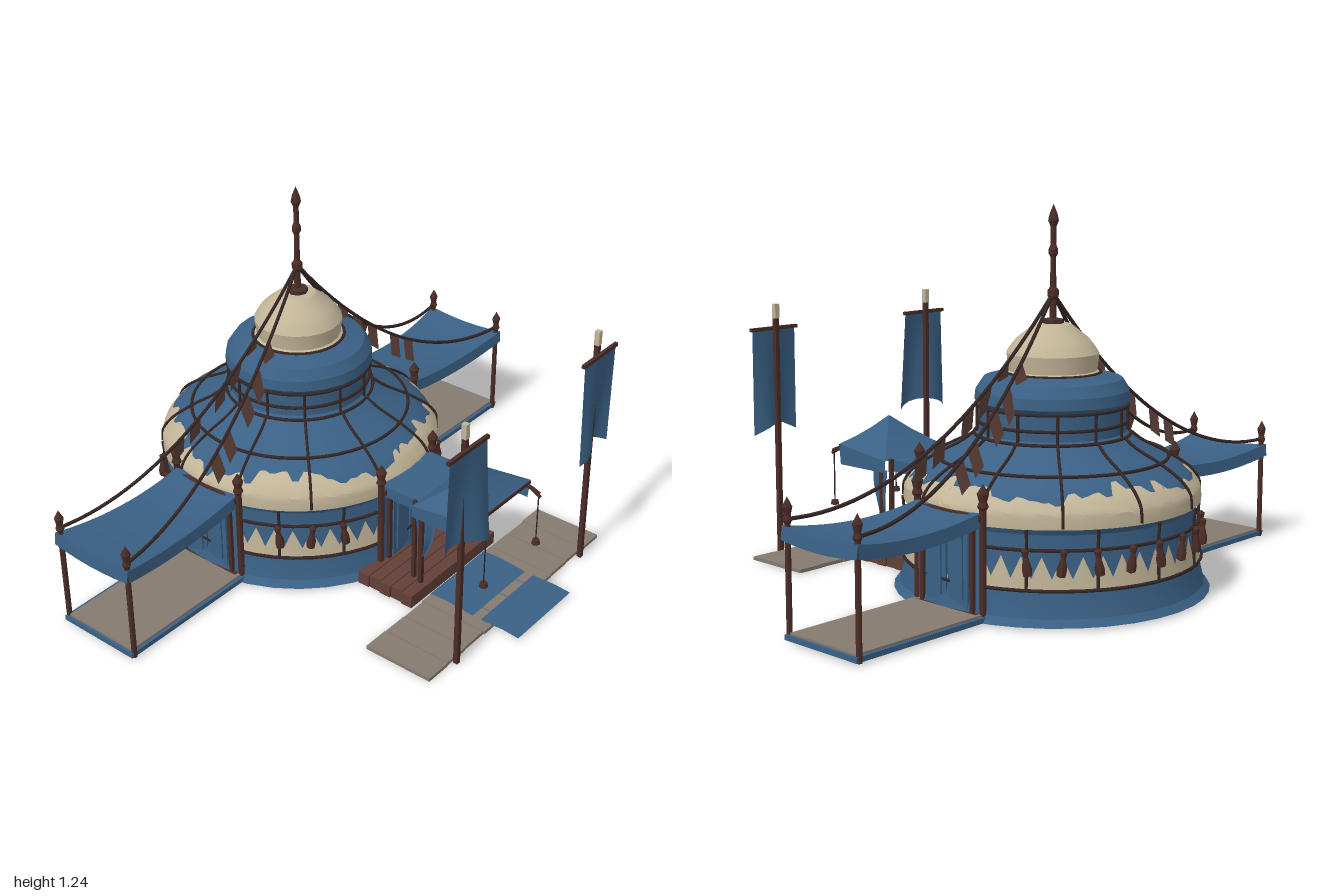
import * as THREE from 'three';
import { toCreasedNormals } from 'three/addons/utils/BufferGeometryUtils.js';

const mat = (name, color, side = THREE.FrontSide) => {
  const m = new THREE.MeshStandardMaterial({ color, side });
  m.name = name;
  return m;
};

export function createModel() {
  const root = new THREE.Group();
  const blue = mat('blue canvas', 0x3a6084, THREE.DoubleSide);
  const cream = mat('cream canvas', 0xc2b598, THREE.DoubleSide);
  const wood = mat('dark wood', 0x4a2c26);
  const plank = mat('red brown planks', 0x613f38);
  const taupe = mat('weathered boards', 0x857a6f);
  const rope = mat('rope', 0x352624);
  const pennant = mat('brown cloth', 0x60423a, THREE.DoubleSide);
  const CZ = -0.262;
  const V = (x, y, z) => new THREE.Vector3(x, y, z);

  const add = (name, geo, m, parent = root, x = 0, y = 0, z = 0) => {
    const mesh = new THREE.Mesh(geo, m);
    mesh.name = name;
    mesh.position.set(x, y, z);
    parent.add(mesh);
    return mesh;
  };
  const group = (name, parent = root) => {
    const g = new THREE.Group();
    g.name = name;
    parent.add(g);
    return g;
  };
  const box = (name, w, h, d, m, x, y, z, parent) => add(name, new THREE.BoxGeometry(w, h, d), m, parent, x, y, z);
  const lathe = (name, pts, m, parent, seg = 32, x = 0, y = 0, z = 0) =>
    add(name, toCreasedNormals(new THREE.LatheGeometry(pts.map(p => new THREE.Vector2(...p)), seg), 0.35), m, parent, x, y, z);
  const tube = (name, pts, r, m, parent, seg = 16) =>
    add(name, new THREE.TubeGeometry(new THREE.CatmullRomCurve3(pts), seg, r, 6), m, parent);
  // Cloth surface from a rule f(u, v) -> [x, y, z]
  const sheet = (name, nu, nv, f, m, parent) => {
    const pos = [], idx = [];
    for (let j = 0; j <= nv; j++) for (let i = 0; i <= nu; i++) {
      pos.push(...f(i / nu, j / nv));
      if (i < nu && j < nv) {
        const a = j * (nu + 1) + i, b = a + nu + 1;
        idx.push(a, a + 1, b, a + 1, b + 1, b);
      }
    }
    const g = new THREE.BufferGeometry();
    g.setAttribute('position', new THREE.Float32BufferAttribute(pos, 3));
    g.setIndex(idx);
    return add(name, toCreasedNormals(g, 0.5), m, parent);
  };
  // Post with a carved finial
  const post = (name, x, z, y0, y1, r, parent) => lathe(name, [[0, y0], [r, y0], [r, y1 - 0.08], [r * 1.6, y1 - 0.07],
    [r * 1.1, y1 - 0.055], [r * 1.7, y1 - 0.03], [0, y1]], wood, parent, 8, x, 0, z);

  // ---- Round tent ----
  const tent = group('roundTent');
  tent.position.z = CZ;
  const profile = [[0.515, 0.008], [0.495, 0.03], [0.478, 0.1], [0.47, 0.2], [0.468, 0.28], [0.478, 0.3], [0.475, 0.345],
    [0.445, 0.385], [0.37, 0.435], [0.29, 0.475], [0.25, 0.505], [0.238, 0.515]];
  const radiusAt = y => {
    for (let i = 1; i < profile.length; i++) {
      const [r0, y0] = profile[i - 1], [r1, y1] = profile[i];
      if (y <= y1) return r0 + (r1 - r0) * Math.max(0, (y - y0) / (y1 - y0));
    }
    return 0.24;
  };
  lathe('tentBody', [[0, 0.006], ...profile], blue, tent, 36);
  lathe('drum', [[0.238, 0.5], [0.238, 0.6], [0.252, 0.615], [0.248, 0.65], [0.225, 0.685], [0.15, 0.705]], blue, tent, 24);
  lathe('topDome', [[0.165, 0.695], [0.143, 0.71], [0.15, 0.765], [0.138, 0.785], [0.118, 0.81], [0.06, 0.857], [0, 0.862]], cream, tent, 20);
  // Painted bands that follow the tent wall
  const band = (name, lo, hi, n) => sheet(name, n, 8, (u, v) => {
    const y = lo(u) + (hi(u) - lo(u)) * v, r = radiusAt(y) + 0.004, a = u * Math.PI * 2;
    return [Math.sin(a) * r, y, Math.cos(a) * r];
  }, cream, tent);
  band('zigzagBand', () => 0.115, u => (Math.round(u * 96) % 2 ? 0.148 : 0.215), 96);
  band('shoulderBand', () => 0.298, u => {
    const k = Math.round(u * 72);
    return 0.39 + 0.018 * Math.sin(k * 2.3) * Math.cos(k * 0.7) + 0.014 * Math.sin(u * Math.PI * 10);
  }, 144);
  // Rope hoops
  const hoops = [[0.477, 0.235], [0.485, 0.113], [0.376, 0.436], [0.253, 0.507], [0.243, 0.548], [0.245, 0.6], [0.155, 0.703]];
  for (const [r, y] of hoops) {
    const t = add('ropeHoop', new THREE.TorusGeometry(r, 0.0055, 6, 48), rope, tent, 0, y, 0);
    t.rotation.x = Math.PI / 2;
  }
  // Cords running down the roof and the drum
  for (let k = 0; k < 12; k++) {
    const a = (k + 0.5) * Math.PI / 6, s = Math.sin(a), c = Math.cos(a);
    const pts = profile.slice(5, 11).map(([r, y]) => V(s * (r + 0.004), y + 0.003, c * (r + 0.004)));
    tube('roofCord', pts, 0.005, rope, tent);
    tube('drumCord', [V(s * 0.243, 0.51, c * 0.243), V(s * 0.243, 0.6, c * 0.243)], 0.005, rope, tent, 2);
  }
  // Wooden toggles around the wall, leaving the doorways free
  for (let k = 0; k < 28; k++) {
    const a = (k + 0.5) / 28 * Math.PI * 2, s = Math.sin(a), c = Math.cos(a);
    if (c > 0.93 || Math.abs(s) > 0.93) continue;
    const t = lathe('wallToggle', [[0, -0.045], [0.014, -0.04], [0.016, -0.02], [0.008, 0.015], [0.012, 0.035], [0, 0.045]],
      wood, tent, 7, s * 0.488, 0.2, c * 0.488);
    t.rotation.set(0, a, k % 2 ? 0.12 : -0.12);
    if (k % 2) tube('wallCord', [V(s * 0.483, 0.113, c * 0.483), V(s * 0.479, 0.235, c * 0.479), V(s * 0.484, 0.3, c * 0.484)], 0.005, rope, tent, 4);
  }
  // Mast
  lathe('mast', [[0.035, 0.855], [0.035, 0.872], [0.011, 0.876], [0.011, 0.935], [0.018, 0.945], [0.018, 0.965], [0.01, 0.975], [0.009, 1.07],
    [0.015, 1.08], [0.015, 1.095], [0.009, 1.11], [0.009, 1.165], [0.017, 1.185], [0.013, 1.205], [0, 1.238]], wood, tent, 8);

  // ---- Doorways: front, left and right ----
  const doorway = (name, angle) => {
    const d = group(name, tent);
    d.rotation.y = angle;
    box('doorBox', 0.26, 0.32, 0.08, blue, 0, 0.175, 0.438, d);
    for (const s of [-1, 1]) {
      box('doorLeaf', 0.085, 0.26, 0.01, blue, s * 0.046, 0.165, 0.481, d);
      box('doorInset', 0.05, 0.2, 0.008, blue, s * 0.046, 0.165, 0.488, d);
      box('doorJamb', 0.014, 0.31, 0.03, wood, s * 0.107, 0.175, 0.475, d);
      post('doorPost', s * 0.14, 0.472, 0.01, 0.43, 0.011, d);
    }
    box('doorLintel', 0.28, 0.018, 0.03, wood, 0, 0.325, 0.475, d);
    box('doorSill', 0.26, 0.02, 0.04, wood, 0, 0.02, 0.475, d);
  };
  doorway('frontDoor', 0);
  doorway('leftDoor', Math.PI / 2);
  doorway('rightDoor', -Math.PI / 2);

  // ---- Side awnings with mats, posts and pennant ropes ----
  for (const s of [-1, 1]) {
    const g = group(s > 0 ? 'leftAwning' : 'rightAwning');
    const topY = u => 0.342 - 0.1 * u * (1 - u) + 0.005 * u;
    const halfW = u => 0.135 + 0.028 * u * u;
    const X = u => s * (0.475 + 0.515 * u);
    sheet('awningCloth', 12, 6, (u, v) => [X(u), topY(u) - 0.05 * v * (1 - v), CZ + halfW(u) * (2 * v - 1)], blue, g);
    for (const e of [-1, 1])
      sheet('awningValance', 12, 1, (u, v) => [X(u), topY(u) - 0.042 * v, CZ + e * (halfW(u) + 0.004 * v)], blue, g);
    sheet('awningEnd', 6, 1, (u, v) => [X(1) + s * 0.006 * v, topY(1) - 0.05 * u * (1 - u) - 0.042 * v, CZ + 0.163 * (2 * u - 1)], blue, g);
    box('matBase', 0.54, 0.016, 0.31, blue, s * 0.725, 0.016, CZ, g);
    box('matTop', 0.52, 0.006, 0.285, taupe, s * 0.725, 0.027, CZ, g);
    for (const e of [-1, 1]) {
      const pz = CZ + e * 0.15;
      post('awningPost', s * 0.98, pz, 0.005, 0.432, 0.009, g);
      const at = t => V(s * 0.98 * t, 0.955 - 0.59 * t - 0.64 * t * (1 - t), CZ + e * 0.15 * t);
      tube('guyRope', Array.from({ length: 13 }, (_, i) => at(i / 12)), 0.006, rope, g, 32);
      // Small pennants hanging from the rope
      for (const t of [0.18, 0.25, 0.32, 0.43, 0.5]) {
        const a = at(t), b = at(t + 0.045);
        sheet('pennant', 1, 2, (u, v) => [a.x + (b.x - a.x) * u - s * 0.012 * v, a.y + (b.y - a.y) * u - 0.078 * v,
          a.z + (b.z - a.z) * u + e * 0.02 * v], pennant, g);
      }
    }
  }

  // ---- Front steps, boardwalk and rug ----
  const deck = group('frontDeck');
  for (let i = 0; i < 5; i++)
    box('stepPlank', 0.472 - (i % 2) * 0.01, 0.045, 0.042, plank, 0, 0.024, 0.213 + i * 0.045, deck);
  for (let i = 0; i < 10; i++)
    box('boardwalkPlank', 0.095, 0.012, 0.25 - (i % 3) * 0.004, taupe, -0.441 + i * 0.098, 0.007, 0.553, deck);
  sheet('rug', 4, 6, (u, v) => [(u - 0.5) * 0.305, 0.019 + 0.004 * Math.sin(v * 9) - 0.01 * v * v, 0.43 + 0.35 * v], blue, deck);

  // ---- Porch canopy ----
  const porch = group('porch');
  sheet('passageCloth', 2, 3, (u, v) => [(u - 0.5) * 0.265, 0.346 - 0.012 * v * (1 - v), 0.2 + 0.165 * v], blue, porch);
  const rim = [[-0.165, 0.345, 0.355], [0.165, 0.345, 0.355], [0.165, 0.375, 0.592], [-0.165, 0.375, 0.592], [-0.165, 0.345, 0.355]];
  const rimAt = u => {
    const i = Math.min(3, Math.floor(u * 4)), f = u * 4 - i;
    return rim[i].map((p, k) => p + (rim[i + 1][k] - p) * f);
  };
  sheet('porchRoof', 4, 3, (u, v) => {
    const p = rimAt(u), q = [0, 0.468, 0.51];
    return p.map((c, k) => q[k] + (c - q[k]) * v - (k === 1 ? 0.03 * v * (1 - v) : 0));
  }, blue, porch);
  for (const s of [-1, 1]) {
    sheet('porchSideValance', 4, 1, (u, v) => {
      const y = 0.345 + 0.03 * u;
      return [s * 0.165, y + (0.303 - y) * v, 0.355 + 0.237 * u - 0.008 * v * u];
    }, blue, porch);
    sheet('passageValance', 2, 1, (u, v) => [s * 0.1325, 0.346 - 0.04 * v, 0.2 + 0.165 * u], blue, porch);
    // Gathered curtain
    sheet('curtain', 6, 4, (u, v) => [s * (0.15 + 0.008 * Math.sin(u * 12)), 0.31 - 0.16 * v,
      0.36 + 0.018 * v + u * (0.075 - 0.058 * v * v)], blue, porch);
    box('backPost', 0.013, 0.35, 0.013, wood, s * 0.14, 0.175, 0.35, porch);
    box('frontPost', 0.015, 0.33, 0.015, wood, s * 0.15, 0.165, 0.386, porch);
    tube('canopyBracket', [V(s * 0.15, 0.31, 0.386), V(s * 0.15, 0.36, 0.59), V(s * 0.15, 0.345, 0.64)], 0.007, wood, porch);
    tube('bracketBrace', [V(s * 0.15, 0.372, 0.575), V(s * 0.15, 0.335, 0.645)], 0.006, wood, porch, 2);
    tube('lanternCord', [V(s * 0.15, 0.335, 0.636), V(s * 0.15, 0.16, 0.636)], 0.0025, rope, porch, 2);
    add('lantern', new THREE.CylinderGeometry(0.012, 0.015, 0.016, 8), wood, porch, s * 0.15, 0.156, 0.636);
  }
  box('porchFrontBeam', 0.33, 0.012, 0.012, wood, 0, 0.367, 0.588, porch);

  // ---- Banners on tall poles ----
  for (const s of [-1, 1]) {
    const b = group(s > 0 ? 'leftBanner' : 'rightBanner');
    box('bannerPole', 0.016, 0.83, 0.016, wood, s * 0.36, 0.415, 0.688, b);
    box('poleTip', 0.018, 0.05, 0.018, cream, s * 0.36, 0.855, 0.688, b);
    box('bannerCrossbar', 0.2, 0.012, 0.012, wood, s * 0.36, 0.795, 0.7, b);
    sheet('bannerCloth', 8, 8, (u, v) => {
      const hem = 0.43 + 0.035 * Math.sin(u * Math.PI);
      return [s * (0.268 + 0.184 * u + 0.018 * v * (u - 0.7)), 0.793 + (hem - 0.793) * v,
        0.702 + 0.028 * v * Math.sin(u * 5.5 + 0.6)];
    }, blue, b);
  }
  return root;
}
